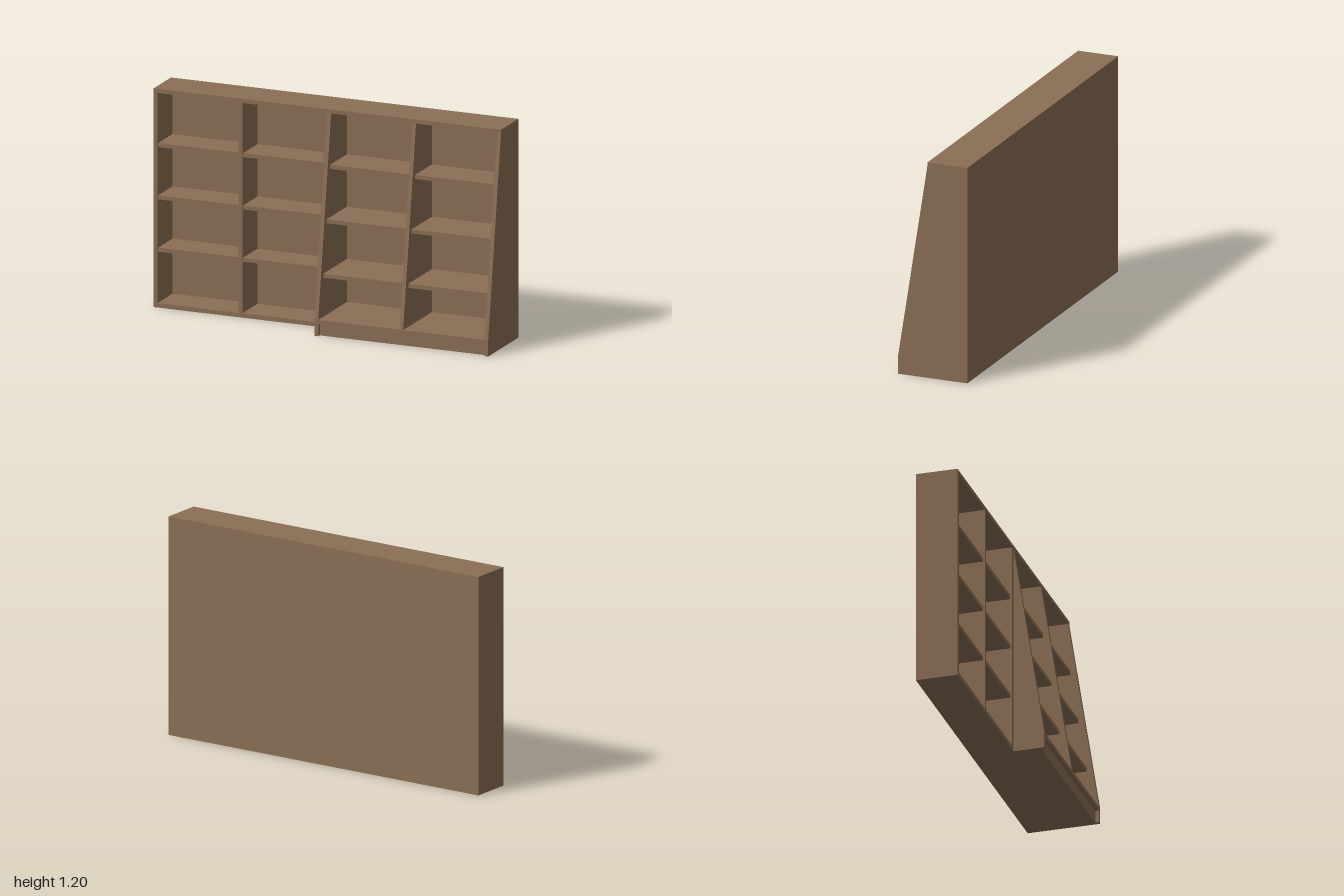
import * as THREE from 'three';

const T = 0.022;          // board thickness
const H = 1.2;            // overall height
const BACK = -0.2;        // rear plane
const SHALLOW = 0.03;     // front plane of the upright unit and of the top
const DEEP = 0.2;         // front plane of the sloping unit at its foot
const SLOPE_LOW = 0.09, SLOPE_HIGH = 1.18;
const SHELF_TOPS = [0.326, 0.613, 0.9];

export function createModel() {
  const wood = new THREE.MeshStandardMaterial({ color: 0x8b6f55 });
  wood.name = 'brown wood';
  const model = new THREE.Group();
  model.name = 'bookcase';

  function unit(name) {
    const g = new THREE.Group();
    g.name = name;
    model.add(g);
    return g;
  }

  // Board given by its limits on each axis
  function board(parent, name, x0, x1, y0, y1, z0, z1) {
    const mesh = new THREE.Mesh(new THREE.BoxGeometry(x1 - x0, y1 - y0, z1 - z0), wood);
    mesh.position.set((x0 + x1) / 2, (y0 + y1) / 2, (z0 + z1) / 2);
    mesh.name = name;
    parent.add(mesh);
  }

  // Upright with a sloping front; outline is drawn as (z, y)
  function slopedBoard(parent, name, x0, x1, outline) {
    const shape = new THREE.Shape(outline.map(([z, y]) => new THREE.Vector2(z, y)));
    const geo = new THREE.ExtrudeGeometry(shape, { depth: x1 - x0, bevelEnabled: false });
    geo.rotateY(-Math.PI / 2);
    geo.translate(x1, 0, 0);
    const mesh = new THREE.Mesh(geo, wood);
    mesh.name = name;
    parent.add(mesh);
  }

  const slopeZ = (y) =>
    DEEP + (SHALLOW - DEEP) * (y - SLOPE_LOW) / (SLOPE_HIGH - SLOPE_LOW);

  // Upright unit
  const straight = unit('straightUnit');
  board(straight, 'backPanel', -1 + T, -T, 0, H, BACK, BACK + 0.03);
  board(straight, 'outerSide', -1, -1 + T, 0, H, BACK, SHALLOW);
  board(straight, 'innerSide', -T, 0, 0, H, BACK, SHALLOW);
  board(straight, 'topBoard', -1 + T, -T, H - T, H, BACK, SHALLOW);
  board(straight, 'baseBoard', -1 + T, -T, 0, 0.024, BACK, SHALLOW);
  board(straight, 'divider', -0.5 - T / 2, -0.5 + T / 2, 0.024, H - T, BACK, SHALLOW);

  // Sloping unit
  const sloping = unit('slopingUnit');
  const sideOutline = [
    [BACK, 0], [DEEP, 0], [DEEP, SLOPE_LOW], [SHALLOW, SLOPE_HIGH], [SHALLOW, H], [BACK, H],
  ];
  const dividerOutline = [
    [BACK, SLOPE_LOW], [DEEP, SLOPE_LOW], [SHALLOW, SLOPE_HIGH], [BACK, SLOPE_HIGH],
  ];
  board(sloping, 'backPanel', T, 1 - T, 0, H, BACK, BACK + T);
  slopedBoard(sloping, 'innerSide', 0, T, sideOutline);
  slopedBoard(sloping, 'outerSide', 1 - T, 1, sideOutline);
  slopedBoard(sloping, 'divider', 0.5 - T / 2, 0.5 + T / 2, dividerOutline);
  board(sloping, 'topBoard', T, 1 - T, H - T, H, BACK, SHALLOW);
  board(sloping, 'baseBoard', T, 1 - T, SLOPE_LOW - T, SLOPE_LOW, BACK, DEEP);
  board(sloping, 'plinth', T, 1 - T, 0, SLOPE_LOW - T, BACK, DEEP - 0.02);

  // Shelves, two bays in each unit
  for (const top of SHELF_TOPS) {
    for (const [a, b] of [[T, 0.5 - T / 2], [0.5 + T / 2, 1 - T]]) {
      board(straight, 'shelf', a - 1, b - 1, top - T, top, BACK, SHALLOW - 0.01);
      board(sloping, 'shelf', a, b, top - T, top, BACK, slopeZ(top) - 0.03);
    }
  }
  return model;
}
